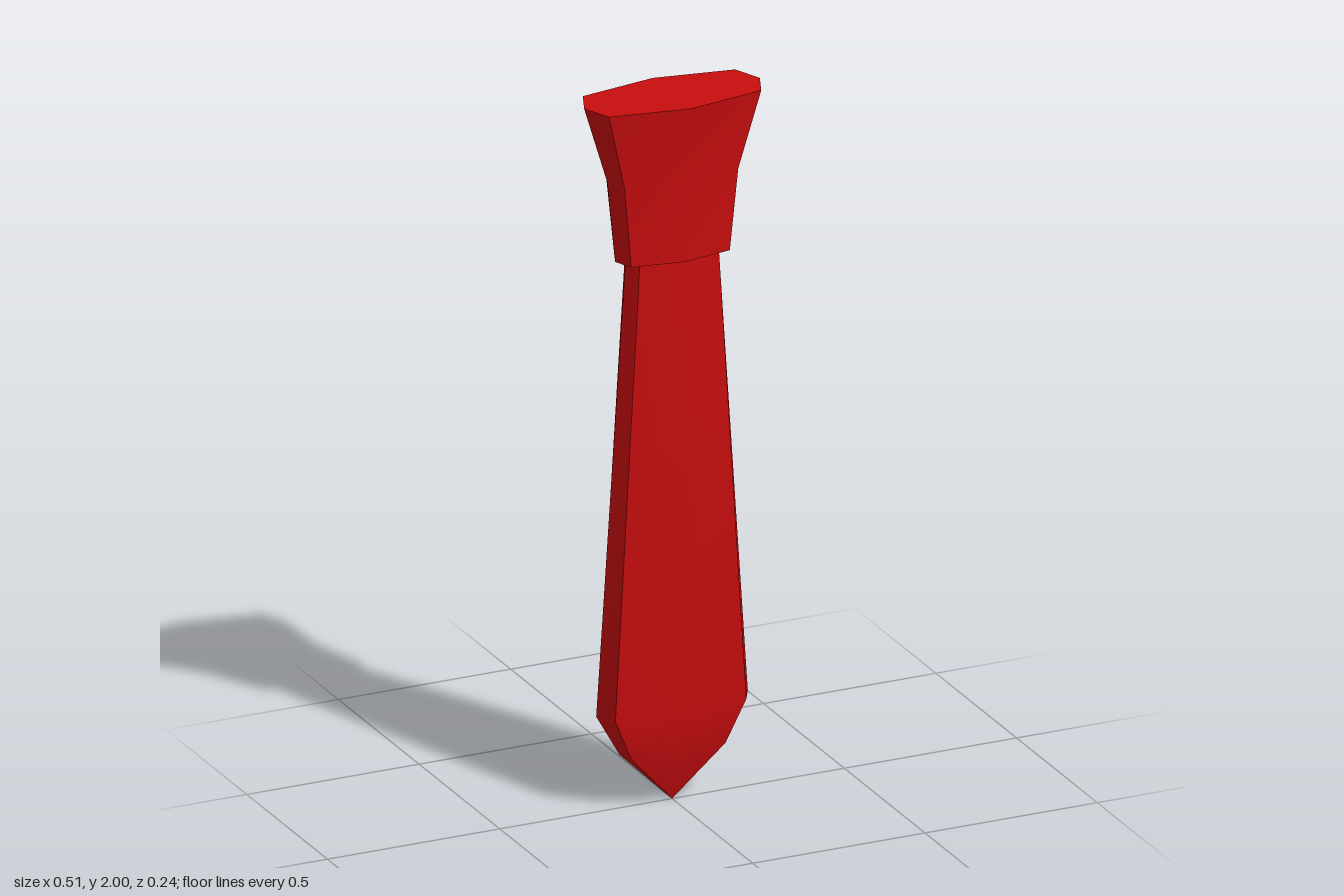
import * as THREE from 'three';
import { toCreasedNormals } from 'three/addons/utils/BufferGeometryUtils.js';

// Eight-sided ring: side point x, corner (cx, cz), ridge point z
function ring([y, x, cx, cz, z]) {
  return [[x, 0], [cx, cz], [0, z], [-cx, cz], [-x, 0], [-cx, -cz], [0, -z], [cx, -cz]]
    .map(([px, pz]) => new THREE.Vector3(px, y, pz));
}

// Skin a stack of rings, listed from top to bottom, and close both ends
function loft(sections) {
  const rings = sections.map(ring);
  const points = [];
  const tri = (a, b, c) => {
    const area = b.clone().sub(a).cross(c.clone().sub(a)).length();
    if (area > 1e-9) points.push(a, b, c);
  };
  const last = rings.length - 1;
  const topCentre = new THREE.Vector3(0, sections[0][0], 0);
  const endCentre = new THREE.Vector3(0, sections[last][0], 0);
  for (let i = 0; i < 8; i++) {
    const j = (i + 1) % 8;
    for (let r = 0; r < last; r++) {
      const a = rings[r], b = rings[r + 1];
      tri(a[i], a[j], b[j]);
      tri(a[i], b[j], b[i]);
    }
    tri(topCentre, rings[0][j], rings[0][i]);
    tri(endCentre, rings[last][i], rings[last][j]);
  }
  const geometry = new THREE.BufferGeometry().setFromPoints(points);
  return toCreasedNormals(geometry, 0.7);
}

export function createModel() {
  const group = new THREE.Group();
  group.name = 'necktie';
  const red = new THREE.MeshStandardMaterial({ color: 0xc80d0f });
  red.name = 'red cloth';

  const add = (name, sections) => {
    const mesh = new THREE.Mesh(loft(sections), red);
    mesh.name = name;
    group.add(mesh);
  };

  // Flared knot: y, side x, corner x, corner z, ridge z
  add('knot', [
    [2, 0.255, 0.221, 0.081, 0.119],
    [1.78, 0.188, 0.165, 0.058, 0.086],
    [1.55, 0.165, 0.143, 0.053, 0.077],
  ]);

  // Long blade widening downwards to a pointed tip
  add('blade', [
    [1.55, 0.135, 0.115, 0.046, 0.063],
    [0.27, 0.22, 0.19, 0.055, 0.08],
    [0.15, 0.152, 0.137, 0.04, 0.06],
    [0, 0, 0, 0, 0],
  ]);

  return group;
}
